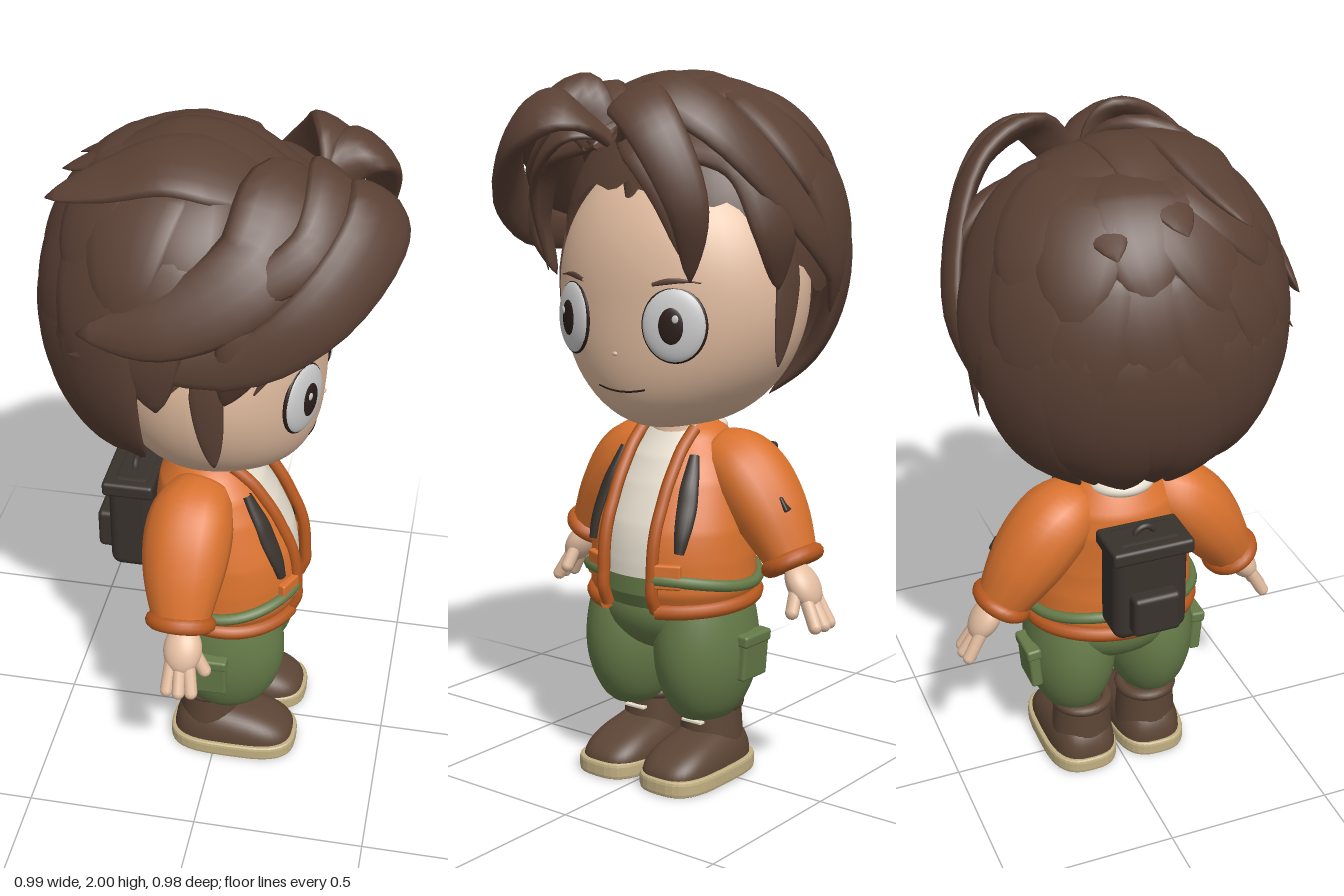
import * as THREE from 'three';
import { ParametricGeometry } from 'three/addons/geometries/ParametricGeometry.js';
import { RoundedBoxGeometry } from 'three/addons/geometries/RoundedBoxGeometry.js';

const mat = (color) => new THREE.MeshStandardMaterial({ color, side: THREE.DoubleSide });
const M = {
  hair: mat(0x5a4034), skin: mat(0xe3bda0), orange: mat(0xd9722e), trim: mat(0xb8591f),
  green: mat(0x657a48), boot: mat(0x5c4535), sole: mat(0xc2b083), pack: mat(0x39322d),
  shirt: mat(0xe8e0d0), eye: mat(0xc4c6c8), dark: mat(0x2a1d18),
};
const { sin, cos, abs, sqrt, sign, min, max, PI } = Math;
const V = (a) => new THREE.Vector3(...a);
const steps = (n, f) => Array.from({ length: n + 1 }, (_, i) => f(i / n));

// Linear lookup in a list of [x, value]
function lookup(table, x) {
  const i = max(1, table.findIndex(([x1]) => x <= x1));
  const [x0, v0] = table[i - 1], [x1, v1] = table[i];
  return v0 + (v1 - v0) * min(1, max(0, (x - x0) / (x1 - x0)));
}

// Flattened tube along points; w and t give half width and half thickness at u
function sweep(points, w, t, centre) {
  const curve = new THREE.CatmullRomCurve3(points.map(V)), c = V(centre);
  return new ParametricGeometry((u, v, out) => {
    const p = curve.getPoint(u), T = curve.getTangent(u), N = p.clone().sub(c);
    N.addScaledVector(T, -N.dot(T)).normalize();
    const B = T.cross(N), a = v * PI * 2;
    out.copy(p).addScaledVector(B, w(u) * cos(a)).addScaledVector(N, t(u) * sin(a));
  }, 22, 14);
}

// Head: an ellipsoid with a fuller lower face
const bulge = (y) => {
  const e = y < 0 ? 3.5 : 2.2;
  return max(1e-4, 1 - abs(y) ** e) ** (1 / e) / sqrt(max(1e-4, 1 - y * y));
};
const faceZ = (x, y) => {
  const h = (y - 1.4) / 0.39;
  return -0.03 + 0.31 * sqrt(max(0, 1 - (x / 0.375) ** 2 - h * h)) * bulge(h);
};

// Torso radius by height; the chest leans back towards the neck
const torso = [[0.51, 0.225], [0.56, 0.25], [0.65, 0.248], [0.75, 0.238], [0.86, 0.213], [0.94, 0.18], [1, 0.132], [1.03, 0.085]];
const lean = (y) => 0.02 - 0.055 * THREE.MathUtils.smoothstep(y, 0.68, 1);
const torsoPoint = (a, y, lift = 0) => {
  const r = lookup(torso, y) + lift;
  return [r * sin(a), y, lean(y) + 0.87 * r * cos(a)];
};
const torsoZ = (x, y) => lean(y) + 0.87 * sqrt(lookup(torso, y) ** 2 - x * x);
// Jacket point: u runs round the body from one front edge to the other
const coat = (u, y, lift) => {
  const g = Math.asin(min(0.9, 0.085 / lookup(torso, y)));
  return torsoPoint(g + u * (PI * 2 - 2 * g), y, lift);
};

// Hair cap: az from the front, pol from the crown, and the lower edge by azimuth
const capPoint = (az, pol, k) => [0.42 * k * sin(az) * sin(pol), 1.5 + 0.47 * k * cos(pol), -0.1 + 0.37 * k * cos(az) * sin(pol)];
const capEdge = [[0, 1.1], [45, 1.25], [72, 1.6], [90, 1.74], [112, 1.76], [126, 2.38], [180, 2.55]];

export function createModel() {
  const root = new THREE.Group(), body = new THREE.Group();
  body.name = 'character';
  body.rotation.y = PI / 2;
  root.add(body);
  const add = (name, geo, m, pos = [0, 0, 0], rot = [0, 0, 0], scale = [1, 1, 1]) => {
    const mesh = new THREE.Mesh(geo, m);
    mesh.name = name;
    mesh.position.set(...pos);
    mesh.rotation.set(...rot);
    mesh.scale.set(...scale);
    body.add(mesh);
    return mesh;
  };
  const ball = (name, m, pos, scale, rot) => add(name, new THREE.SphereGeometry(1, 32, 20), m, pos, rot, scale);
  const box = (name, m, size, pos, rot) => add(name, new RoundedBoxGeometry(...size, 3, min(...size) * 0.25), m, pos, rot);
  const patch = (name, m, f, nu = 48, nv = 24) => add(name, new ParametricGeometry((u, v, out) => out.set(...f(u, v)), nu, nv), m);
  const tube = (name, pts, r, m) =>
    add(name, new THREE.TubeGeometry(new THREE.CatmullRomCurve3(pts.map(V)), 64, r, 8), m);
  const finger = (name, a, b) => {
    const A = V(a), d = V(b).sub(A), mid = A.addScaledVector(d, 0.5).toArray();
    add(name, new THREE.CapsuleGeometry(0.019, d.length(), 4, 10), M.skin, mid)
      .quaternion.setFromUnitVectors(V([0, 1, 0]), d.normalize());
  };
  const lock = (name, W, pts, thick = 0.28) => {
    const w = (u) => W * (1 - u ** 3) ** 0.8 * (0.55 + 0.45 * min(1, 3 * u)) + 0.003;
    add(name, sweep(pts, w, (u) => w(u) * thick, [0, 1.45, -0.05]), M.hair);
  };

  // Head and neck
  const head = new THREE.SphereGeometry(1, 48, 36), hp = head.attributes.position;
  for (let i = 0; i < hp.count; i++) {
    const y = hp.getY(i), z = hp.getZ(i);
    hp.setXYZ(i, hp.getX(i) * 0.375, y * 0.39, z * 0.31 * (z > 0 ? bulge(y) : 1));
  }
  head.computeVertexNormals();
  add('head', head, M.skin, [0, 1.4, -0.03]);
  add('neck', new THREE.CylinderGeometry(0.08, 0.1, 0.14, 24), M.skin, [0, 1.02, -0.03]);
  ball('shirtCollar', M.shirt, [0, 1, -0.08], [0.1, 0.04, 0.09]);

  // Face
  for (const s of [-1, 1]) {
    const x = s * 0.175, y = 1.325, z = faceZ(x, y), tilt = [0, s * 0.42, 0];
    ball('eyeRim', M.dark, [x, y, z - 0.004], [0.091, 0.102, 0.018], tilt);
    ball('eye', M.eye, [x, y, z - 0.003], [0.088, 0.099, 0.024], tilt);
    ball('pupil', M.dark, [x + s * 0.004, y, z + 0.016], [0.037, 0.05, 0.008], tilt);
    ball('eyeGlint', M.eye, [x + s * 0.02, y + 0.02, z + 0.021], [0.009, 0.011, 0.003], tilt);
    const brow = steps(4, (f) => {
      const bx = 0.12 + 0.12 * f, by = 1.432 + 0.008 * sin(PI * f) + 0.006 * f;
      return [s * bx, by, faceZ(bx, by) + 0.002];
    });
    add('eyebrow', sweep(brow, (u) => 0.002 + 0.006 * sin(PI * min(1, u + 0.15)), () => 0.004, [0, 1.4, -0.05]), M.hair);
  }
  tube('mouth', steps(6, (f) => {
    const x = 0.16 * f - 0.08, y = 1.135 + 1.6 * x * x;
    return [x, y, faceZ(x, y) - 0.001];
  }), 0.003, M.dark);
  ball('nose', M.skin, [0, 1.24, faceZ(0, 1.24)], [0.008, 0.006, 0.005]);

  // Hair cap with a jagged lower edge
  patch('hairCap', M.hair, (u, v) => {
    const deg = abs(u * 360 - 180), edge = lookup(capEdge, deg) + 0.04 * sin(deg * 0.22);
    return capPoint((u * 2 - 1) * PI, 0.01 + v * edge, 0.96);
  }, 72, 20);

  // Three rings of locks falling over the back: spread either side, start, end, lift
  for (const [spread, start, end, lift] of [[62, 0.9, 2.62, 1.01], [82, 0.55, 1.95, 1.02], [98, 0.2, 1.35, 1.05]]) {
    for (let i = 0; i <= 7; i++) {
      const az = 180 + spread * (i / 3.5 - 1), stop = end - (i % 2) * 0.16;
      lock('backHairLock', 0.14, steps(4, (f) =>
        capPoint((az + 8 * f * f) * PI / 180, start + (stop - start) * f, 0.95 + (lift - 0.95) * f)));
    }
  }
  // Crown locks with lifted tips
  for (const x of [-0.17, -0.03, 0.12]) {
    lock('crownLock', 0.12, steps(4, (f) =>
      [x * (0.7 + 0.5 * f), 1.86 + 0.11 * sin(PI * min(1, f * 1.1)) - abs(x) * 0.15 - x * 0.15 * f, 0.2 - 0.62 * f]));
  }

  // Fringe locks leave a shared parting; s is the side they fall to
  const fringe = (s, W, ...pts) => lock('fringeLock', W, [[s * 0.03, 1.82, 0.27], ...pts], 0.34);
  fringe(-1, 0.105, [-0.09, 1.885, 0.39], [-0.2, 1.84, 0.41], [-0.36, 1.69, 0.3], [-0.425, 1.56, 0.1], [-0.38, 1.52, -0.33]);
  fringe(-1, 0.13, [-0.15, 1.9, 0.2], [-0.33, 1.78, 0.14], [-0.42, 1.65, -0.08], [-0.41, 1.6, -0.3]);
  fringe(-1, 0.085, [-0.12, 1.93, 0.3], [-0.3, 1.83, 0.27], [-0.43, 1.63, -0.1]);
  fringe(-1, 0.045, [-0.1, 1.83, 0.34], [-0.25, 1.71, 0.31], [-0.36, 1.44, 0.14]);
  fringe(1, 0.085, [0.13, 1.93, 0.27], [0.3, 1.85, 0.22], [0.44, 1.58, 0], [0.42, 1.4, -0.18]);
  fringe(1, 0.08, [0.1, 1.91, 0.33], [0.21, 1.85, 0.38], [0.31, 1.64, 0.36], [0.28, 1.45, 0.31]);
  fringe(1, 0.045, [0.12, 1.78, 0.32], [0.2, 1.66, 0.31], [0.24, 1.5, 0.28]);
  for (const s of [-1, 1]) {
    fringe(s, 0.09, [s * 0.33, 1.76, 0.14], [s * 0.41, 1.58, 0.12], [s * 0.39, 1.42, 0.07]);
    lock('sideburn', 0.042, steps(4, (f) => [s * (0.385 + 0.01 * sin(PI * f) - 0.015 * f), 1.55 - 0.34 * f, 0.015 + 0.025 * f]));
  }
  add('widowsPeak', new THREE.ConeGeometry(0.06, 0.13, 12), M.hair, [0, 1.69, 0.2], [PI - 0.35, 0, 0], [1, 1, 0.35]);

  // Shirt and open jacket
  patch('shirt', M.shirt, (u, v) => torsoPoint(u * PI * 2, 0.6 + v * 0.43, -0.02));
  patch('waist', M.green, (u, v) => torsoPoint(u * PI * 2, 0.52 + v * 0.09, -0.014));
  patch('jacket', M.orange, (u, v) => coat(u, 0.515 + v * 0.515));
  tube('jacketHem', steps(24, (f) => coat(f, 0.545 - 0.025 * abs(cos(f * PI)) ** 3, 0.008)), 0.022, M.trim);
  for (const u of [0, 1]) tube('jacketEdge', steps(10, (f) => coat(u, 0.52 + f * 0.49, 0.005)), 0.018, M.trim);
  tube('waistBand', steps(32, (f) => coat(f, 0.6 + 0.015 * cos(f * PI * 4), 0.006)), 0.017, M.green);

  // Trousers
  ball('hips', M.green, [0, 0.5, 0.02], [0.225, 0.14, 0.19]);
  const legLine = steps(20, (f) => new THREE.Vector2(0.07 + 0.066 * sin(PI * 0.85 * f ** 0.75), 0.19 + 0.41 * f));
  const leg = new THREE.LatheGeometry(legLine, 28);

  // Footprint of the boots, rounded at both ends
  const footprint = (f) => {
    const c = cos(f * 2 * PI), s = sin(f * 2 * PI);
    return [0.106 * sign(c) * abs(c) ** 0.7, 0.189 * sign(s) * abs(s) ** 0.6];
  };
  const outline = new THREE.Shape(steps(36, (f) => new THREE.Vector2(...footprint(f))));
  const sole = new THREE.ExtrudeGeometry(outline, { depth: 0.026, bevelSize: 0.006, bevelThickness: 0.01, bevelSegments: 2 });

  for (const s of [-1, 1]) {
    // Leg and cargo pocket
    add('trouserLeg', leg, M.green, [s * 0.125, 0, 0.025], [0, 0, 0], [1, 1, 1.3]);
    box('cargoPocket', M.green, [0.035, 0.13, 0.115], [s * 0.26, 0.375, -0.005], [0, 0, s * -0.08]);
    box('pocketFlap', M.green, [0.045, 0.035, 0.122], [s * 0.264, 0.428, -0.005], [0, 0, s * -0.08]);

    // Boot, sloping down to the toe
    add('bootSole', sole, M.sole, [s * 0.112, 0.036, 0.05], [PI / 2, 0, 0]);
    patch('bootFoot', M.boot, (u, v) => {
      const [x, z] = footprint(u), k = 0.97 * cos(v * PI / 2) ** 0.6;
      return [s * 0.108 + x * k, 0.042 + (0.095 - 0.2 * z * k) * sin(v * PI / 2), 0.05 + z * k];
    }, 36, 12);
    add('bootShaft', new THREE.CylinderGeometry(0.085, 0.096, 0.16, 28), M.boot, [s * 0.105, 0.13, -0.025]);
    add('bootCuff', new THREE.TorusGeometry(0.077, 0.018, 10, 28), M.boot, [s * 0.105, 0.205, -0.025], [PI / 2, 0, 0]);
    box('bootLace', M.shirt, [0.07, 0.008, 0.02], [s * 0.105, 0.165, 0.065]);

    // Sleeve, cuff and hand
    const arm = [[s * 0.1, 0.94, -0.04], [s * 0.19, 0.89, -0.06], [s * 0.28, 0.78, -0.065], [s * 0.355, 0.66, -0.06]];
    const armR = (u) => 0.074 + 0.038 * sin(PI * u ** 0.9);
    add('sleeve', sweep(arm, armR, (u) => armR(u) * 1.12, [0, 0.8, -9]), M.orange);
    add('sleeveCuff', new THREE.TorusGeometry(0.063, 0.025, 12, 28), M.trim, [s * 0.358, 0.655, -0.06], [PI / 2, s * 0.5, 0], [1, 1.15, 1]);
    ball('palm', M.skin, [s * 0.405, 0.595, -0.045], [0.04, 0.07, 0.055], [0, 0, s * 0.6]);
    for (const k of [-1, 0, 1])
      finger('finger', [s * 0.415, 0.585, -0.05 + k * 0.022], [s * (0.474 - 0.006 * k * k), 0.492, -0.045 + k * 0.035]);
    finger('thumb', [s * 0.4, 0.6, -0.02], [s * 0.41, 0.53, 0.018]);

    // Pack strap and jacket pocket
    const strap = steps(6, (f) => {
      const x = 0.125 + 0.03 * sin(f * PI * 0.6), y = 0.945 - f * 0.255;
      return [s * x, y, torsoZ(x, y) + 0.008];
    });
    add('packStrap', sweep(strap, (u) => 0.014 + 0.014 * sin(PI * u), () => 0.012, [0, 0.8, -0.1]), M.pack);
    box('jacketPocket', M.orange, [0.08, 0.07, 0.025], [s * 0.125, 0.625, torsoZ(0.125, 0.625) + 0.003], [0, s * 0.45, 0]);
  }
  box('sleevePatch', M.pack, [0.02, 0.045, 0.05], [0.355, 0.82, -0.03], [0, 0, 0.55]);

  // Backpack
  box('backpack', M.pack, [0.22, 0.31, 0.135], [0, 0.77, -0.26]);
  box('packLid', M.pack, [0.24, 0.045, 0.15], [0, 0.9, -0.265]);
  box('packPocket', M.pack, [0.14, 0.125, 0.06], [0, 0.715, -0.34]);
  add('packHandle', new THREE.TorusGeometry(0.03, 0.009, 8, 16, PI), M.pack, [0, 0.915, -0.26]);
  return root;
}
